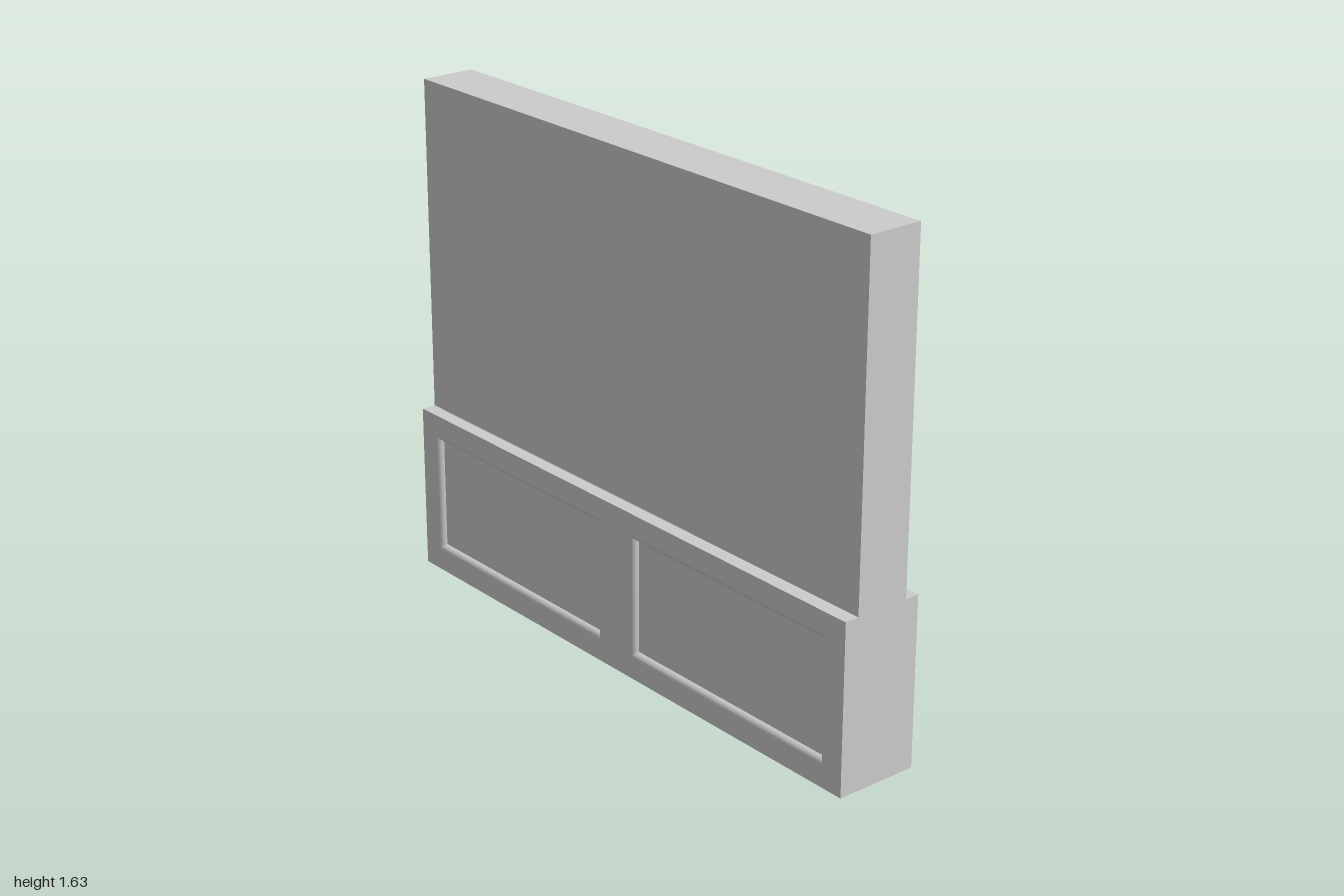
import * as THREE from 'three';
import { mergeGeometries } from 'three/addons/utils/BufferGeometryUtils.js';

const W = 1, TOP = 1.635, LEDGE = 0.545;   // half width, wall height, wainscot height
const ZW = 0.09, ZB = 0.137;               // half thickness of wall and wainscot
const R = 0.018;                           // radius of the panel moulding
const PANELS = [-0.5, 0.5].map((cx) => ({ x0: cx - 0.428, x1: cx + 0.428, y0: 0.071, y1: 0.477 }));

const material = new THREE.MeshStandardMaterial({ color: 0xcccccc, side: THREE.DoubleSide });

function add(parent, name, geometry) {
  const mesh = new THREE.Mesh(geometry, material);
  mesh.name = name;
  parent.add(mesh);
  return mesh;
}

// Corners of a panel outline moved inwards, counter-clockwise
function corners(p, inset) {
  const x0 = p.x0 + inset, x1 = p.x1 - inset, y0 = p.y0 + inset, y1 = p.y1 - inset;
  return [[x0, y0], [x1, y0], [x1, y1], [x0, y1]];
}

function outline(points, Type) {
  return new Type(points.map(([x, y]) => new THREE.Vector2(x, y)));
}

// Quarter-round moulding with mitred corners, one smooth strip per side
function mouldingGeometry(p, steps = 8) {
  const sides = [];
  for (let s = 0; s < 4; s++) {
    const position = [], index = [];
    for (let i = 0; i <= steps; i++) {
      const a = (i / steps) * Math.PI / 2;
      const c = corners(p, R * Math.sin(a));
      const z = ZB - R * (1 - Math.cos(a));
      position.push(...c[s], z, ...c[(s + 1) % 4], z);
      if (i < steps) {
        const k = i * 2;
        index.push(k, k + 1, k + 3, k, k + 3, k + 2);
      }
    }
    const g = new THREE.BufferGeometry();
    g.setAttribute('position', new THREE.Float32BufferAttribute(position, 3));
    g.setIndex(index);
    g.computeVertexNormals();
    sides.push(g);
  }
  return mergeGeometries(sides);
}

// One face of the wall: plain upper part, ledge, and panelled wainscot
function createFace() {
  const face = new THREE.Group();

  add(face, 'upperWall', new THREE.PlaneGeometry(2 * W, TOP - LEDGE))
    .position.set(0, (TOP + LEDGE) / 2, ZW);

  const ledge = add(face, 'wainscotLedge', new THREE.PlaneGeometry(2 * W, ZB - ZW));
  ledge.rotation.x = -Math.PI / 2;
  ledge.position.set(0, LEDGE, (ZB + ZW) / 2);

  const frame = outline([[-W, 0], [W, 0], [W, LEDGE], [-W, LEDGE]], THREE.Shape);
  frame.holes = PANELS.map((p) => outline(corners(p, 0), THREE.Path));
  add(face, 'wainscotFrame', new THREE.ShapeGeometry(frame)).position.z = ZB;

  for (const p of PANELS) {
    add(face, 'panelMoulding', mouldingGeometry(p));
    add(face, 'recessedPanel', new THREE.ShapeGeometry(outline(corners(p, R), THREE.Shape)))
      .position.z = ZB - R;
  }
  return face;
}

export function createModel() {
  const model = new THREE.Group();
  model.name = 'panelledWall';

  const front = createFace();
  front.name = 'frontFace';
  const back = createFace();
  back.name = 'backFace';
  back.rotation.y = Math.PI;
  model.add(front, back);

  // Stepped end walls
  const profile = outline([[-ZB, 0], [ZB, 0], [ZB, LEDGE], [ZW, LEDGE], [ZW, TOP],
    [-ZW, TOP], [-ZW, LEDGE], [-ZB, LEDGE]], THREE.Shape);
  for (const side of [-1, 1]) {
    const end = add(model, side > 0 ? 'leftEnd' : 'rightEnd', new THREE.ShapeGeometry(profile));
    end.rotation.y = side * Math.PI / 2;
    end.position.x = side * W;
  }

  // Top cap; the underside stays open
  const cap = add(model, 'topCap', new THREE.PlaneGeometry(2 * W, 2 * ZW));
  cap.rotation.x = -Math.PI / 2;
  cap.position.y = TOP;

  return model;
}
